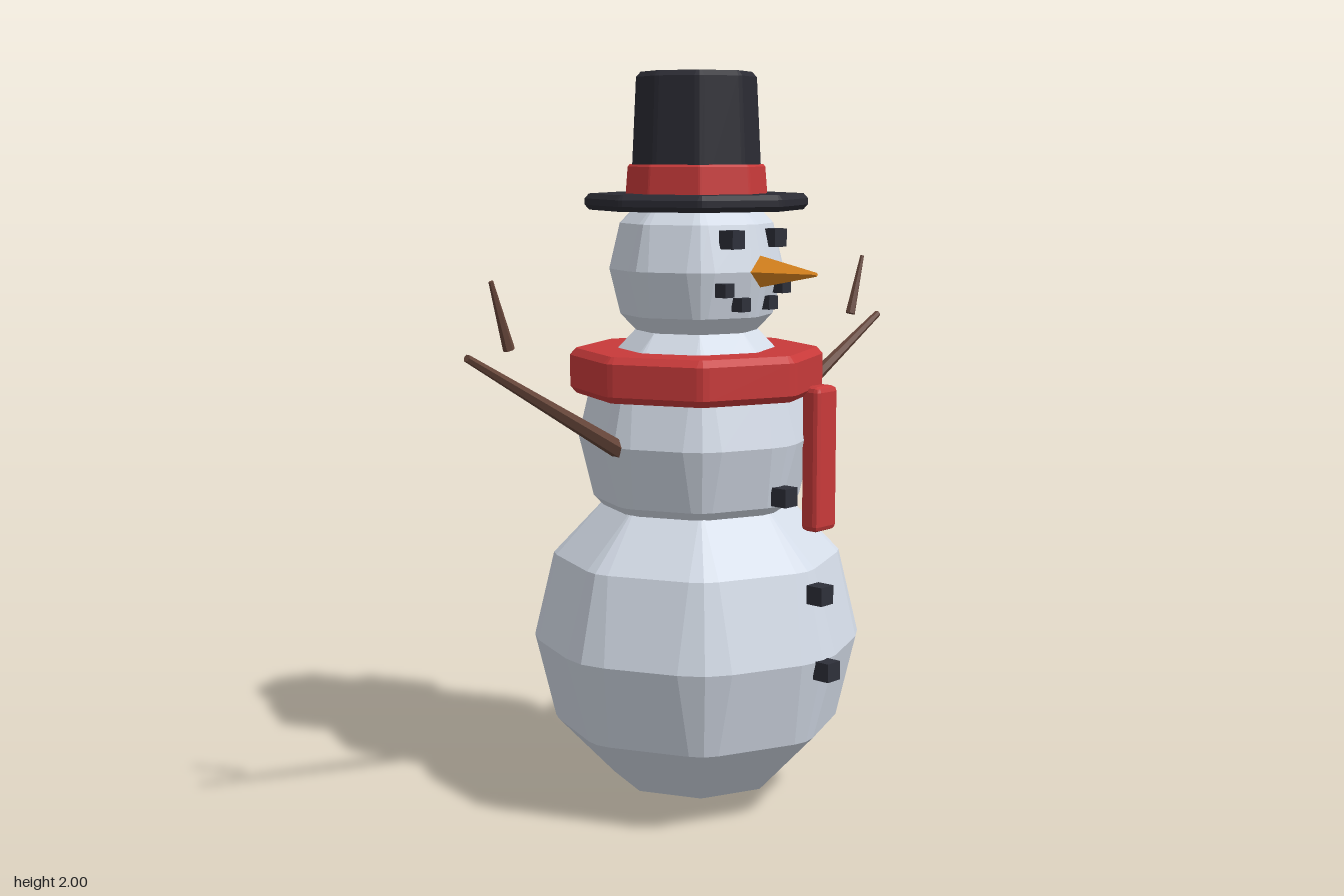
import * as THREE from 'three';
import { RoundedBoxGeometry } from 'three/addons/geometries/RoundedBoxGeometry.js';

const Z0 = -0.013; // depth of the body axis

const paint = (name, color) => {
  const m = new THREE.MeshStandardMaterial({ color });
  m.name = name;
  return m;
};

// Split all faces so each one is shaded flat
function flat(geo) {
  const g = geo.index ? geo.toNonIndexed() : geo;
  g.computeVertexNormals();
  return g;
}

// Octagonal solid of revolution with bevelled upright edges.
// Rows run bottom to top: [corner radius, height, bevel width]
function octagon(rows) {
  const pos = [], idx = [], n = 24;
  const corner = (r, k) => new THREE.Vector3(Math.sin(k * Math.PI / 4) * r, 0, Math.cos(k * Math.PI / 4) * r);
  for (const [r, y, w = 0] of rows) {
    for (let k = 0; k < 8; k++) {
      const c = corner(r, k);
      const toward = (j) => c.clone().add(corner(r, j).sub(c).normalize().multiplyScalar(w));
      for (const p of [toward(k - 1), corner(r - 0.2 * w, k), toward(k + 1)]) pos.push(p.x, y, p.z);
    }
  }
  for (let i = 0; i < rows.length - 1; i++) {
    for (let j = 0; j < n; j++) {
      const a = i * n + j, b = i * n + (j + 1) % n;
      idx.push(a, b, b + n, a, b + n, a + n);
    }
  }
  const g = new THREE.BufferGeometry();
  g.setAttribute('position', new THREE.Float32BufferAttribute(pos, 3));
  g.setIndex(idx);
  return flat(g);
}

// Snowball: eight sides, six bands
function snowball(R, y) {
  const rows = [];
  const bevel = [0, 0, 0.09, 0.165, 0.09, 0, 0];
  for (let i = 0; i <= 6; i++) {
    const a = -Math.PI / 2 + i * Math.PI / 6;
    const r = i % 6 ? R * Math.cos(a) : 0;
    rows.push([r, y + R * Math.sin(a), R * bevel[i]]);
  }
  return octagon(rows);
}

// Drum with chamfered rims
function drum(r0, r1, y0, y1, b) {
  return octagon([[0, y0], [r0 - b, y0, b / 2], [r0, y0 + b, b], [r1, y1 - b, b], [r1 - b, y1, b / 2], [0, y1]]);
}

// Tapered stick between two points
function stick(from, to, r0, r1, sides) {
  const a = new THREE.Vector3(...from), b = new THREE.Vector3(...to);
  const d = b.clone().sub(a);
  const g = new THREE.CylinderGeometry(r1, r0, d.length(), sides);
  g.applyQuaternion(new THREE.Quaternion().setFromUnitVectors(new THREE.Vector3(0, 1, 0), d.normalize()));
  const mid = a.add(b).multiplyScalar(0.5);
  return flat(g.translate(mid.x, mid.y, mid.z));
}

export function createModel() {
  const snow = paint('snow', 0xd6deea);
  const red = paint('red wool', 0xc83a3a);
  const black = paint('black felt', 0x2b2b33);
  const coal = paint('coal', 0x2e303a);
  const wood = paint('brown wood', 0x66463a);
  const orange = paint('carrot orange', 0xe38a20);

  const model = new THREE.Group();
  model.name = 'snowman';
  const add = (name, geo, mat, x = 0, y = 0, z = 0) => {
    const m = new THREE.Mesh(geo, mat);
    m.name = name;
    m.position.set(x, y, z);
    model.add(m);
    return m;
  };

  // Three snowballs
  add('lowerBody', snowball(0.465, 0.467), snow, 0, 0, Z0);
  add('upperBody', snowball(0.334, 1.025), snow, 0, 0, Z0);
  add('head', snowball(0.244, 1.48), snow, 0, 0, Z0);

  // Top hat
  add('hatBrim', drum(0.303, 0.303, 1.637, 1.68, 0.013), black, 0, 0, Z0);
  add('hatBand', drum(0.192, 0.186, 1.67, 1.757, 0.006), red, 0, 0, Z0);
  add('hatCrown', drum(0.179, 0.164, 1.67, 2, 0.014), black, 0, 0, Z0);

  // Scarf ring and hanging tail
  add('scarf', drum(0.348, 0.348, 1.143, 1.265, 0.018), red, 0, 0, Z0);
  add('scarfTail', flat(new RoundedBoxGeometry(0.09, 0.395, 0.058, 1, 0.015)), red, 0.155, 0.973, 0.293);

  // Coal buttons
  const button = new THREE.BoxGeometry(0.05, 0.05, 0.05);
  for (const [y, z] of [[0.89, 0.3], [0.645, 0.423], [0.445, 0.448]]) add('button', button, coal, 0, y, z);

  // Carrot nose
  add('nose', stick([0, 1.48, 0.17], [0, 1.48, 0.402], 0.05, 0.005, 4), orange);

  // Eyes, mouth and arms on both sides
  const eye = new THREE.BoxGeometry(0.048, 0.048, 0.048);
  const pebble = new THREE.BoxGeometry(0.036, 0.036, 0.036);
  for (const s of [1, -1]) {
    add('eye', eye, coal, s * 0.085, 1.565, 0.188);
    add('mouthPebble', pebble, coal, s * 0.115, 1.435, 0.19);
    add('mouthPebble', pebble, coal, s * 0.055, 1.395, 0.195);
    add('arm', stick([s * 0.27, 1.0, Z0], [s * 0.818, 1.303, Z0], 0.026, 0.01, 6), wood);
    add('twig', stick([s * 0.682, 1.312, Z0], [s * 0.737, 1.482, Z0], 0.015, 0.006, 6), wood);
  }
  return model;
}
